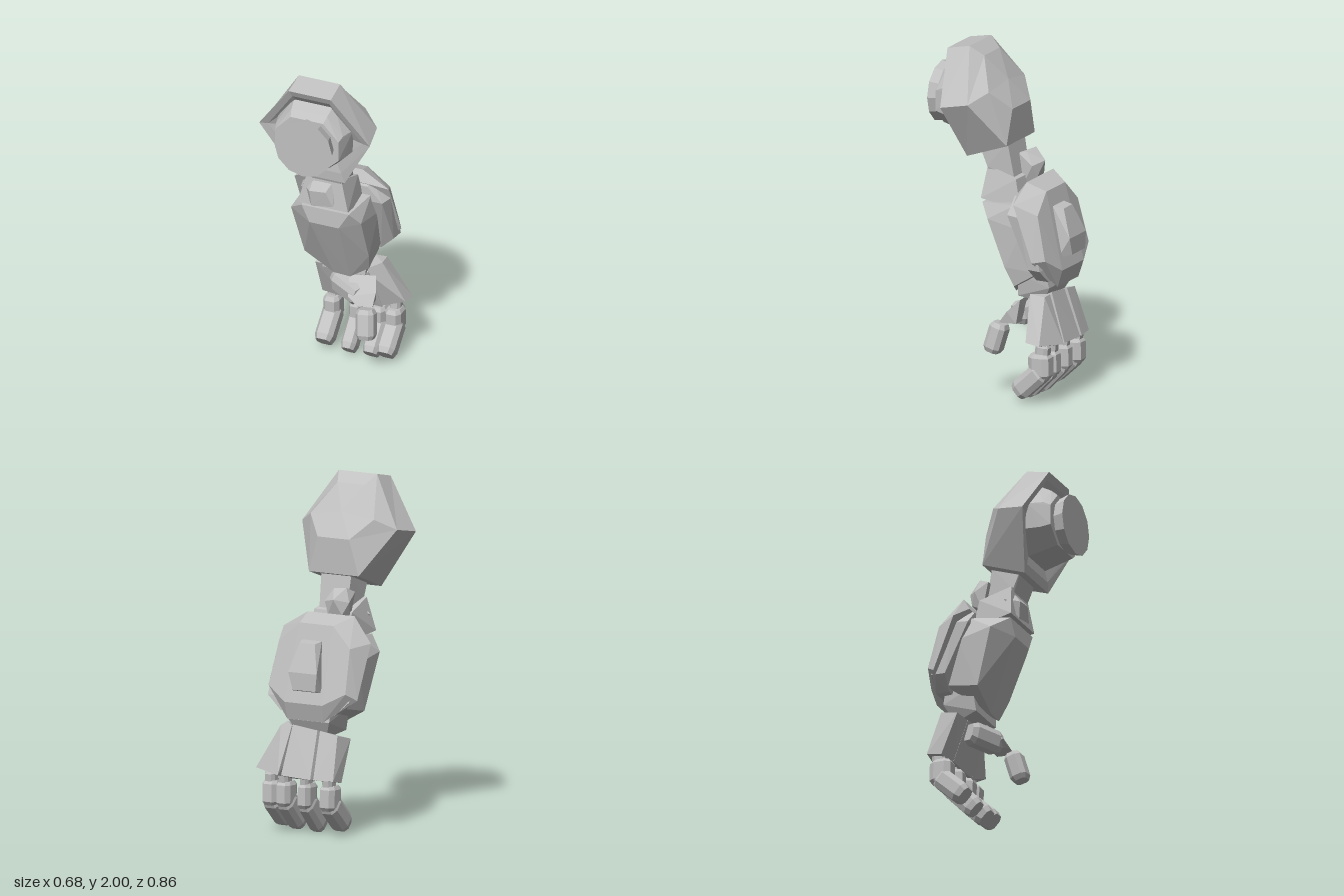
import * as THREE from 'three';
import { ConvexGeometry } from 'three/addons/geometries/ConvexGeometry.js';

const V = (p) => new THREE.Vector3(...p);

export function createModel() {
  const model = new THREE.Group();
  const metal = new THREE.MeshStandardMaterial({ color: 0xc0c0c0, flatShading: true });
  metal.name = 'grey metal';

  const add = (name, geometry) => {
    const mesh = new THREE.Mesh(geometry, metal);
    mesh.name = name;
    model.add(mesh);
    return mesh;
  };
  // faceted solid through corner points
  const hull = (name, pts) => add(name, new ConvexGeometry(pts.map(V)));
  // adds the mirrored twin of every corner
  const sym = (pts) => pts.flatMap(([x, y, z]) => [[x, y, z], [-x, y, z]]);
  // skin over mirrored six-point rings (top, side, bottom), from back to front
  const loft = (name, halfRings) => {
    const rings = halfRings.map((h) => [...h, ...[...h].reverse().map(([x, y, z]) => [-x, y, z])]);
    const pos = [];
    for (let k = 0; k < rings.length - 1; k++) {
      for (let i = 0; i < 6; i++) {
        const j = (i + 1) % 6;
        const a = rings[k][i], b = rings[k][j], c = rings[k + 1][j], d = rings[k + 1][i];
        pos.push(...a, ...d, ...c, ...a, ...c, ...b);
      }
    }
    const geometry = new THREE.BufferGeometry();
    geometry.setAttribute('position', new THREE.Float32BufferAttribute(pos, 3));
    geometry.computeVertexNormals();
    return add(name, geometry);
  };
  // bevelled bar between two points, w wide in x and t thick across
  const bar = (name, a, b, w, t, taper = 0.75) => {
    const from = V(a), to = V(b);
    const dir = to.clone().sub(from).normalize();
    const across = new THREE.Vector3(1, 0, 0).addScaledVector(dir, -dir.x).normalize();
    const depth = new THREE.Vector3().crossVectors(dir, across);
    const pts = [];
    for (const [f, s] of [[0, 0.75], [0.15, 1], [0.85, 1], [1, taper]]) {
      for (const [u, v] of [[0.5, 0.25], [0.3, 0.5], [-0.3, 0.5], [-0.5, 0.25],
        [-0.5, -0.25], [-0.3, -0.5], [0.3, -0.5], [0.5, -0.25]]) {
        const p = from.clone().lerp(to, f);
        p.addScaledVector(across, u * w * s).addScaledVector(depth, v * t * s);
        pts.push(p.toArray());
      }
    }
    return hull(name, pts);
  };

  // shoulder dome: closed back, hexagonal rim, hollow front
  loft('shoulderShell', [
    [[0, 1.8, 0.01], [0, 1.8, 0.01], [0, 1.8, 0.01]],
    [[0.09, 1.945, 0.115], [0.21, 1.77, 0.02], [0.105, 1.66, -0.075]],
    [[0.127, 2.0, 0.19], [0.315, 1.71, 0.1], [0.165, 1.455, -0.07]],
    [[0.13, 1.97, 0.33], [0.34, 1.68, 0.262], [0.155, 1.36, 0.19]],
    [[0.115, 1.93, 0.31], [0.29, 1.68, 0.25], [0.135, 1.42, 0.195]],
    [[0.1, 1.86, 0.25], [0.2, 1.68, 0.22], [0.1, 1.5, 0.19]],
    [[0, 1.68, 0.22], [0, 1.68, 0.22], [0, 1.68, 0.22]],
  ]);
  // drum and disc in the shoulder opening
  hull('shoulderSocket', sym([
    [0.12, 1.9, 0.26], [0.23, 1.75, 0.24], [0.22, 1.6, 0.22], [0.11, 1.48, 0.19],
    [0.11, 1.86, 0.335], [0.205, 1.75, 0.33], [0.205, 1.6, 0.31], [0.1, 1.5, 0.285],
    [0.1, 1.83, 0.37], [0.195, 1.73, 0.37], [0.195, 1.61, 0.37], [0.1, 1.52, 0.37],
  ]));
  const cap = add('shoulderCap', new THREE.CylinderGeometry(0.178, 0.16, 0.065, 12));
  cap.rotation.x = Math.PI / 2;
  cap.position.set(0.005, 1.675, 0.4);

  // upper arm link and elbow
  hull('upperArm', sym([
    [0.1, 1.44, 0.15], [0.1, 1.46, -0.04], [0.1, 1.3, 0.09], [0.09, 1.24, -0.08],
    [0.08, 1.2, 0.06],
  ]));
  hull('elbowCollar', [
    [-0.12, 1.31, 0.09], [0.09, 1.31, 0.09], [-0.14, 1.25, -0.1], [0.11, 1.25, -0.1],
    [-0.17, 1.12, 0.11], [0.14, 1.12, 0.11], [-0.14, 1.08, -0.14], [0.13, 1.08, -0.14],
  ]);
  hull('elbowJoint', [
    [-0.13, 1.36, -0.05], [-0.01, 1.37, -0.05], [-0.11, 1.39, -0.11], [-0.02, 1.38, -0.1],
    [-0.14, 1.31, -0.13], [-0.07, 1.33, -0.19], [0.01, 1.31, -0.15], [-0.11, 1.24, -0.16],
    [-0.02, 1.24, -0.165], [-0.12, 1.2, -0.09], [0.0, 1.2, -0.09],
  ]);
  hull('elbowFrontJoint', [
    [-0.08, 1.29, 0.08], [0.04, 1.29, 0.08], [-0.16, 1.22, 0.06], [0.07, 1.22, 0.06],
    [-0.09, 1.22, 0.13], [0.01, 1.23, 0.13], [-0.08, 1.12, 0.12], [0.05, 1.14, 0.12],
  ]);

  // forearm block in front
  hull('forearm', [
    [-0.15, 1.1, 0.1], [0.14, 1.1, 0.1], [-0.2, 1.12, -0.13], [0.18, 1.12, -0.13],
    [-0.1, 1.0, 0.105], [0.08, 1.0, 0.105], [-0.25, 1.02, 0.02], [0.19, 1.02, 0.04],
    [-0.21, 0.69, -0.08], [0.19, 0.75, -0.07], [-0.03, 0.59, -0.08], [0.07, 0.585, -0.08],
    [0.17, 0.64, -0.12], [-0.2, 0.73, -0.28], [0.18, 0.74, -0.28], [-0.24, 0.98, -0.19],
    [0.2, 0.98, -0.19],
  ]);
  // broad armour behind the forearm: inner and outer layers
  hull('forearmLiner', sym([
    [0.16, 1.17, -0.12], [0.25, 1.08, -0.12], [0.26, 0.78, -0.26], [0.18, 0.7, -0.27],
    [0.16, 1.2, -0.19], [0.27, 1.08, -0.2], [0.27, 0.78, -0.34], [0.18, 0.7, -0.35],
  ]));
  hull('forearmGuard', [
    [-0.2, 1.245, -0.17], [0.11, 1.245, -0.17], [-0.315, 1.1, -0.18], [0.27, 1.15, -0.17],
    [-0.2, 1.18, -0.134], [0.16, 1.18, -0.134],
    [-0.305, 0.79, -0.31], [0.29, 0.83, -0.3], [-0.23, 0.76, -0.33], [0.22, 0.76, -0.33],
    [-0.13, 1.2, -0.285], [0.09, 1.2, -0.285], [-0.25, 1.08, -0.3], [0.22, 1.09, -0.3],
    [-0.26, 0.83, -0.365], [0.25, 0.84, -0.365], [-0.13, 0.76, -0.405], [0.12, 0.76, -0.405],
    [-0.12, 0.66, -0.375], [0.12, 0.66, -0.375],
  ]);
  hull('guardBump', [
    [-0.07, 1.11, -0.31], [0.06, 1.11, -0.31], [-0.06, 1.1, -0.37], [0.04, 1.1, -0.37],
    [-0.11, 0.94, -0.43], [0.08, 0.94, -0.43], [-0.1, 0.84, -0.43], [0.05, 0.84, -0.43],
    [-0.11, 0.82, -0.36], [0.09, 0.82, -0.36],
  ]);

  // wrist
  hull('wrist', [
    [-0.15, 0.72, -0.14], [0.16, 0.72, -0.14], [-0.14, 0.75, -0.31], [0.15, 0.75, -0.31],
    [-0.13, 0.65, -0.33], [0.14, 0.65, -0.33], [-0.12, 0.58, -0.13], [0.14, 0.58, -0.13],
    [-0.08, 0.55, -0.28], [0.1, 0.55, -0.28],
  ]);

  // palm: three slabs, the outer one angled away
  hull('palmInner', [
    [-0.2, 0.55, -0.21], [-0.06, 0.55, -0.2], [-0.18, 0.58, -0.32], [-0.07, 0.6, -0.33],
    [-0.2, 0.31, -0.31], [-0.06, 0.31, -0.29], [-0.2, 0.33, -0.4], [-0.08, 0.33, -0.42],
  ]);
  hull('palmMiddle', [
    [-0.08, 0.55, -0.2], [0.13, 0.56, -0.2], [-0.05, 0.6, -0.325], [0.11, 0.62, -0.33],
    [-0.08, 0.31, -0.29], [0.18, 0.3, -0.285], [-0.06, 0.33, -0.42], [0.13, 0.34, -0.425],
  ]);
  hull('palmOuter', [
    [0.1, 0.57, -0.2], [0.2, 0.62, -0.24], [0.12, 0.61, -0.325], [0.19, 0.61, -0.33],
    [0.15, 0.3, -0.285], [0.325, 0.37, -0.28], [0.15, 0.34, -0.43], [0.33, 0.36, -0.37],
  ]);

  // thumb
  bar('thumbBase', [-0.07, 0.48, -0.2], [0.12, 0.46, -0.1], 0.11, 0.13);
  hull('thumbMiddle', [
    [0.04, 0.56, -0.14], [0.19, 0.57, -0.17], [0.22, 0.5, -0.1], [0.07, 0.47, -0.05],
    [0.22, 0.43, -0.05], [0.13, 0.43, -0.035], [0.05, 0.43, -0.15], [0.2, 0.43, -0.15],
  ]);
  bar('thumbTip', [0.185, 0.42, -0.045], [0.205, 0.25, 0.0], 0.11, 0.1);

  // four curled fingers: knuckle, upper and tip segments
  for (const [x, drop, w] of [[-0.14, 0.02, 0.11], [0.012, 0, 0.09], [0.15, 0.005, 0.1], [0.24, 0.02, 0.11]]) {
    bar('fingerKnuckle', [x, 0.35, -0.35], [x, 0.25, -0.34], w * 0.6, 0.08);
    bar('fingerUpper', [x, 0.295, -0.33], [x, 0.15, -0.335], w * 0.9, 0.13);
    bar('fingerTip', [x, 0.2, -0.35], [x, 0.03 + drop, -0.19], w, 0.12, 0.8);
  }
  return model;
}
